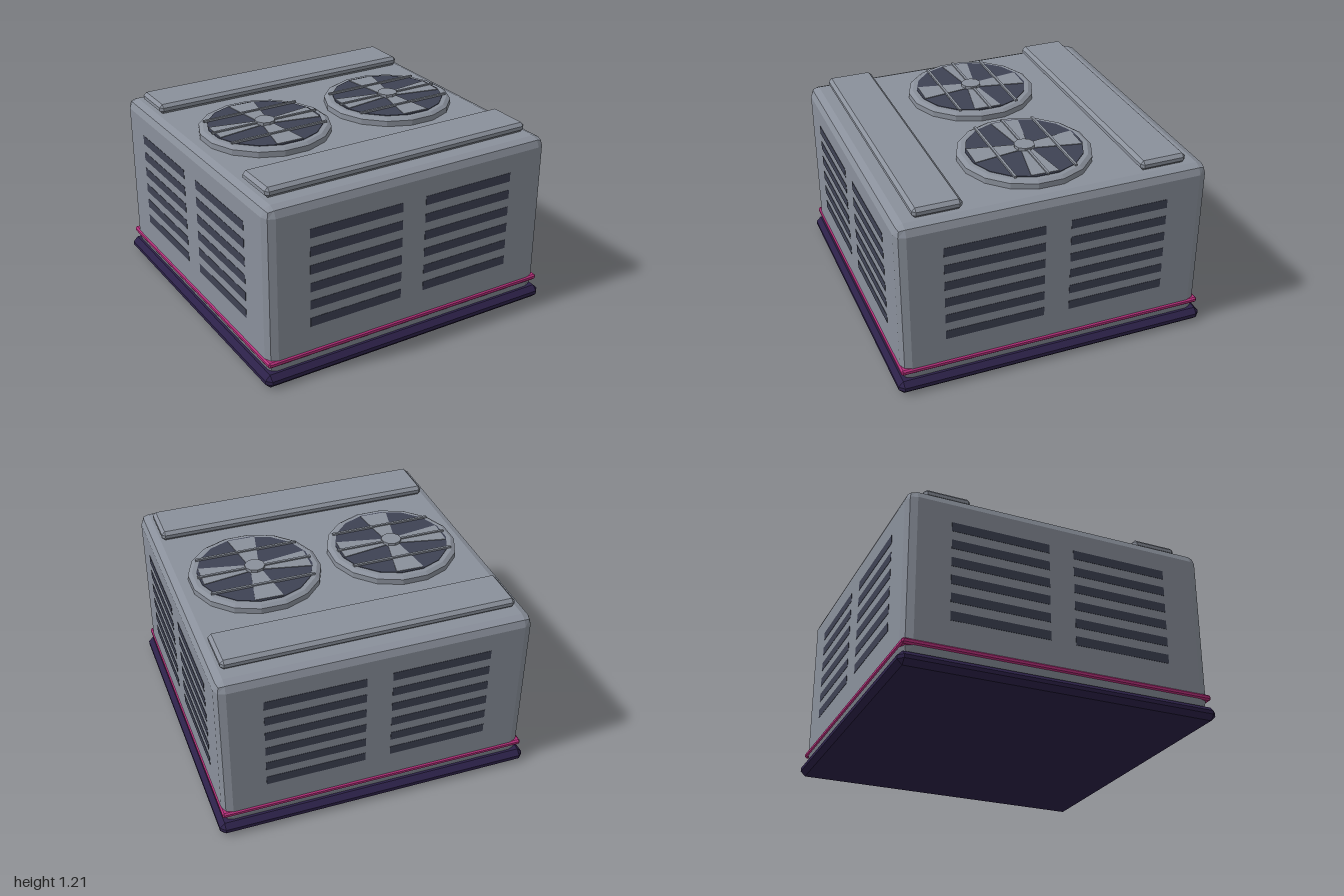
import * as THREE from 'three';
import { RoundedBoxGeometry } from 'three/addons/geometries/RoundedBoxGeometry.js';
import { ConvexGeometry } from 'three/addons/geometries/ConvexGeometry.js';

const mat = (name, color) => {
  const m = new THREE.MeshStandardMaterial({ color });
  m.name = name;
  return m;
};

// Give every face its own flat normal
function faceted(geo) {
  const g = geo.index ? geo.toNonIndexed() : geo;
  g.computeVertexNormals();
  return g;
}

// Box with a single 45 degree chamfer on every edge
function chamferBox(w, h, d, c) {
  const pts = [];
  for (const sx of [-1, 1]) for (const sy of [-1, 1]) for (const sz of [-1, 1]) {
    const [x, y, z] = [w / 2, h / 2, d / 2];
    pts.push(
      new THREE.Vector3(sx * x, sy * (y - c), sz * (z - c)),
      new THREE.Vector3(sx * (x - c), sy * y, sz * (z - c)),
      new THREE.Vector3(sx * (x - c), sy * (y - c), sz * z));
  }
  return new ConvexGeometry(pts);
}

export function createModel() {
  const metal = mat('grey metal', 0x8a909b);
  const dark = mat('dark opening', 0x3e4253);
  const plinth = mat('dark purple', 0x2c2148);
  const pink = mat('magenta trim', 0xb8307c);

  const add = (parent, name, geo, material, x = 0, y = 0, z = 0) => {
    const mesh = new THREE.Mesh(geo, material);
    mesh.name = name;
    mesh.position.set(x, y, z);
    parent.add(mesh);
    return mesh;
  };

  const model = new THREE.Group();
  model.name = 'coolingUnit';

  // Base, trim band and housing
  add(model, 'base', chamferBox(2, 0.085, 2, 0.031), plinth, 0, 0.0425, 0);
  add(model, 'trimBand', chamferBox(1.956, 0.036, 1.956, 0.01), pink, 0, 0.147, 0);
  add(model, 'housing', faceted(new RoundedBoxGeometry(1.94, 1.065, 1.94, 1, 0.06)), metal, 0, 0.5975, 0);

  // Two columns of six vent slots on each of the four sides
  const slot = new THREE.BoxGeometry(0.62, 0.058, 0.008);
  for (let side = 0; side < 4; side++) {
    const vents = new THREE.Group();
    vents.name = 'sideVents';
    vents.rotation.y = side * Math.PI / 2;
    for (let row = 0; row < 6; row++)
      for (const sx of [-1, 1])
        add(vents, 'ventSlot', slot, dark, sx * 0.39, 0.351 + row * 0.1145, 0.968);
    model.add(vents);
  }

  // Raised strips along the front and back of the roof
  const strip = chamferBox(1.8, 0.062, 0.295, 0.02);
  for (const sz of [-1, 1]) add(model, 'roofStrip', strip, metal, 0, 1.162, sz * 0.7);

  // Fan geometry shared by both fans
  const ringProfile = [[0.41, 1.12], [0.41, 1.165], [0.385, 1.18], [0.34, 1.18]]
    .map(([r, y]) => new THREE.Vector2(r, y));
  const ringGeo = faceted(new THREE.LatheGeometry(ringProfile, 16, Math.PI / 16));
  const discGeo = new THREE.CylinderGeometry(0.357, 0.357, 0.06, 16);
  discGeo.rotateY(Math.PI / 16);
  const hubGeo = faceted(new THREE.CylinderGeometry(0.063, 0.063, 0.05, 10));
  const bladeShape = new THREE.Shape([[0.04, -0.035], [0.337, -0.088], [0.337, 0.088], [0.04, 0.035]]
    .map(([x, y]) => new THREE.Vector2(x, y)));
  const bladeGeo = new THREE.ExtrudeGeometry(bladeShape, { depth: 0.005, bevelEnabled: false });
  bladeGeo.rotateX(-Math.PI / 2);

  for (const sx of [-1, 1]) {
    const fan = new THREE.Group();
    fan.name = 'fan';
    fan.position.x = sx * 0.45;
    add(fan, 'fanRing', ringGeo, metal);
    add(fan, 'fanOpening', faceted(discGeo), dark, 0, 1.154, 0);
    for (let i = 0; i < 4; i++)
      add(fan, 'fanBlade', bladeGeo, metal, 0, 1.183, 0).rotation.y = i * Math.PI / 2 - 0.03;
    add(fan, 'fanHub', hubGeo, metal, 0, 1.18, 0);
    // Guard bars across the opening
    for (const i of [-1, 0, 1])
      add(fan, 'guardBar', new THREE.BoxGeometry(i ? 0.65 : 0.72, 0.012, 0.015), metal, 0, 1.19, i * 0.19);
    model.add(fan);
  }
  return model;
}
